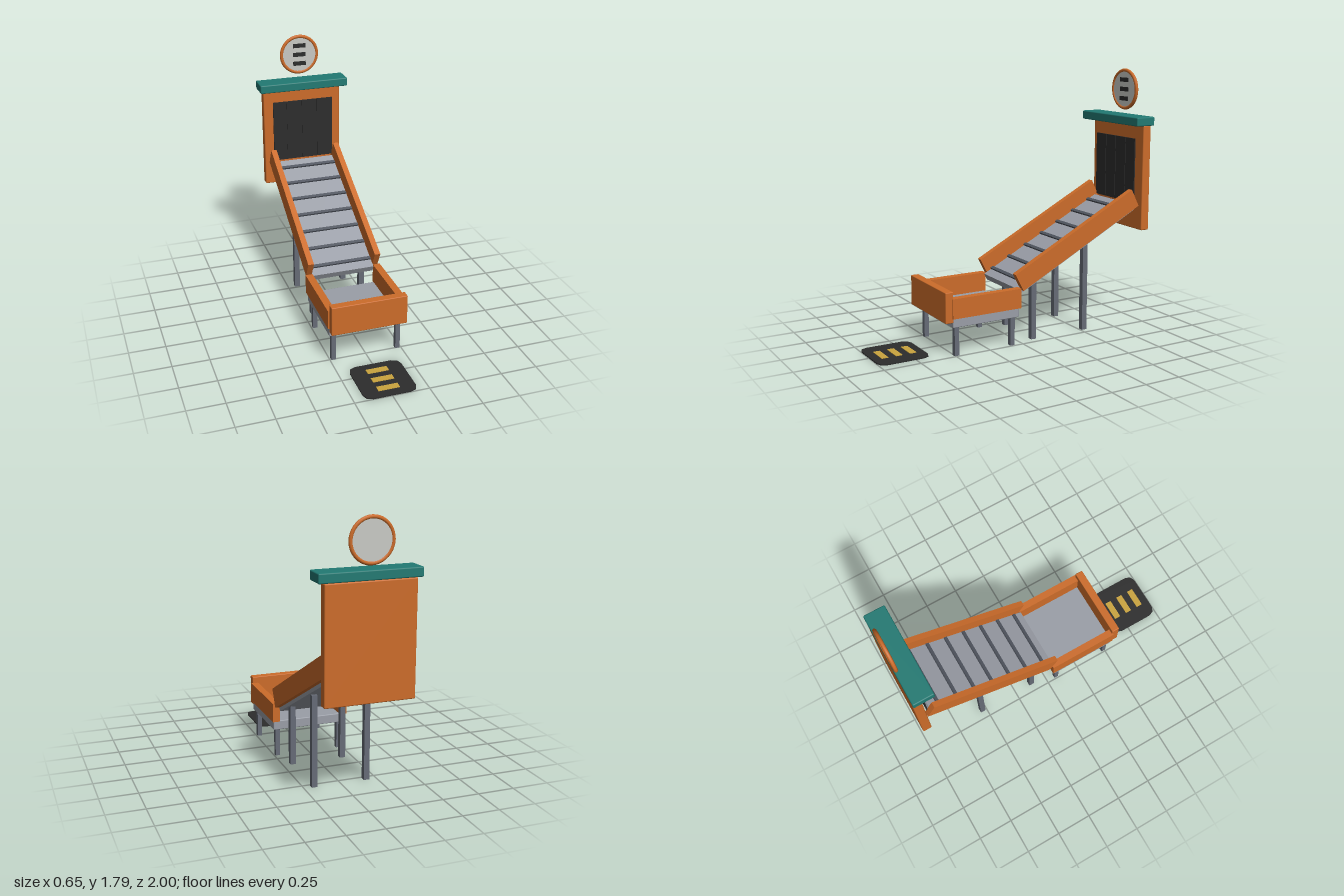
import * as THREE from 'three';
import { RoundedBoxGeometry } from 'three/addons/geometries/RoundedBoxGeometry.js';

const material = (name, color) => {
  const m = new THREE.MeshStandardMaterial({ color });
  m.name = name;
  return m;
};

export function createModel() {
  const orange = material('orange', 0xcc6c2a);
  const steel = material('steel', 0x9a9ea7);
  const slate = material('slate', 0x666b76);
  const slatGrey = material('slatGrey', 0x50555f);
  const charcoal = material('charcoal', 0x2c2c2c);
  const teal = material('teal', 0x227a73);
  const paleGrey = material('paleGrey', 0xc8c9c4);
  const gold = material('gold', 0xcaa43e);

  const model = new THREE.Group();
  model.name = 'deliveryChute';

  const add = (parent, name, geometry, mat, x = 0, y = 0, z = 0) => {
    const mesh = new THREE.Mesh(geometry, mat);
    mesh.name = name;
    mesh.position.set(x, y, z);
    parent.add(mesh);
    return mesh;
  };
  // Box given by its lower and upper limits; a bevel rounds its edges
  const box = (parent, name, mat, [x0, x1], [y0, y1], [z0, z1], bevel = 0) => {
    const size = [x1 - x0, y1 - y0, z1 - z0];
    const geometry = bevel
      ? new RoundedBoxGeometry(...size, 2, bevel)
      : new THREE.BoxGeometry(...size);
    return add(parent, name, geometry, mat, (x0 + x1) / 2, (y0 + y1) / 2, (z0 + z1) / 2);
  };
  const part = (name) => {
    const g = new THREE.Group();
    g.name = name;
    model.add(g);
    return g;
  };

  // Collecting tray
  const tray = part('tray');
  box(tray, 'trayFloor', steel, [-0.26, 0.26], [0.195, 0.26], [0.037, 0.525], 0.006);
  box(tray, 'trayFront', orange, [-0.26, 0.26], [0.23, 0.435], [0.522, 0.578], 0.005);
  for (const s of [-1, 1]) {
    box(tray, 'traySide', orange, [s * 0.245 - 0.025, s * 0.245 + 0.025], [0.257, 0.39], [0.025, 0.53]);
    for (const z of [0.49, 0.075])
      box(tray, 'trayLeg', slate, [s * 0.225 - 0.016, s * 0.225 + 0.016], [0, 0.2], [z - 0.016, z + 0.016]);
  }

  // Sloping chute, built level and then tilted down towards the front
  const chute = part('chute');
  chute.position.set(0, 0.669, -0.435);
  chute.rotation.x = 0.478;
  box(chute, 'chuteBed', steel, [-0.223, 0.223], [-0.09, -0.04], [-0.5, 0.55]);
  for (const s of [-1, 1])
    box(chute, 'chuteRail', orange, [s * 0.24 - 0.02, s * 0.24 + 0.02], [-0.066, 0.066], [-0.5265, 0.5265]);
  for (let i = 0; i < 7; i++) {
    const z = -0.428 + i * 0.151;
    box(chute, 'chuteSlat', slatGrey, [-0.218, 0.218], [-0.042, -0.027], [z - 0.011, z + 0.011]);
  }

  // Chute supports
  const supports = part('chuteSupports');
  for (const s of [-1, 1])
    for (const [z, height] of [[-0.115, 0.41], [-0.53, 0.615]])
      box(supports, 'chuteLeg', slate, [s * 0.18 - 0.019, s * 0.18 + 0.019], [0, height], [z - 0.019, z + 0.019]);

  // Back board with a hanging strip curtain and a canopy
  const gate = part('gate');
  box(gate, 'backBoard', orange, [-0.29, 0.29], [0.68, 1.415], [-1, -0.937], 0.008);
  box(gate, 'canopy', teal, [-0.327, 0.327], [1.415, 1.476], [-1, -0.853], 0.008);
  box(gate, 'curtain', charcoal, [-0.225, 0.225], [0.87, 1.32], [-0.92, -0.912]);
  for (const x of [-0.115, 0, 0.115])
    box(gate, 'curtainRib', charcoal, [x - 0.008, x + 0.008], [0.88, 1.32], [-0.913, -0.908]);

  // Round sign with a plain bar mark
  const sign = part('sign');
  sign.position.set(0, 1.646, -0.9875);
  add(sign, 'signRim', new THREE.TorusGeometry(0.1325, 0.0125, 8, 40), orange);
  add(sign, 'signDisc', new THREE.CylinderGeometry(0.127, 0.127, 0.012, 40), paleGrey).rotation.x = Math.PI / 2;
  for (const y of [-0.066, 0, 0.066])
    box(sign, 'signBar', charcoal, [-0.047, 0.047], [y - 0.015, y + 0.015], [0.005, 0.01]);

  // Floor mat with clipped corners and a matching bar mark
  const mat = part('floorMat');
  mat.position.set(0, 0, 0.821);
  const a = 0.178, b = 0.125, c = 0.163;
  const outline = [];
  for (let i = 0; i < 4; i++)
    for (const [x, y] of [[a, -b], [a, b], [c, c]]) {
      const p = new THREE.Vector2(x, y);
      outline.push(p.rotateAround(new THREE.Vector2(), i * Math.PI / 2));
    }
  const matGeometry = new THREE.ExtrudeGeometry(new THREE.Shape(outline), { depth: 0.008, bevelEnabled: false });
  add(mat, 'matPad', matGeometry.rotateX(-Math.PI / 2), charcoal);
  for (const z of [-0.098, 0, 0.098])
    box(mat, 'matBar', gold, [-0.072, 0.072], [0.007, 0.012], [z - 0.023, z + 0.023]);

  return model;
}
